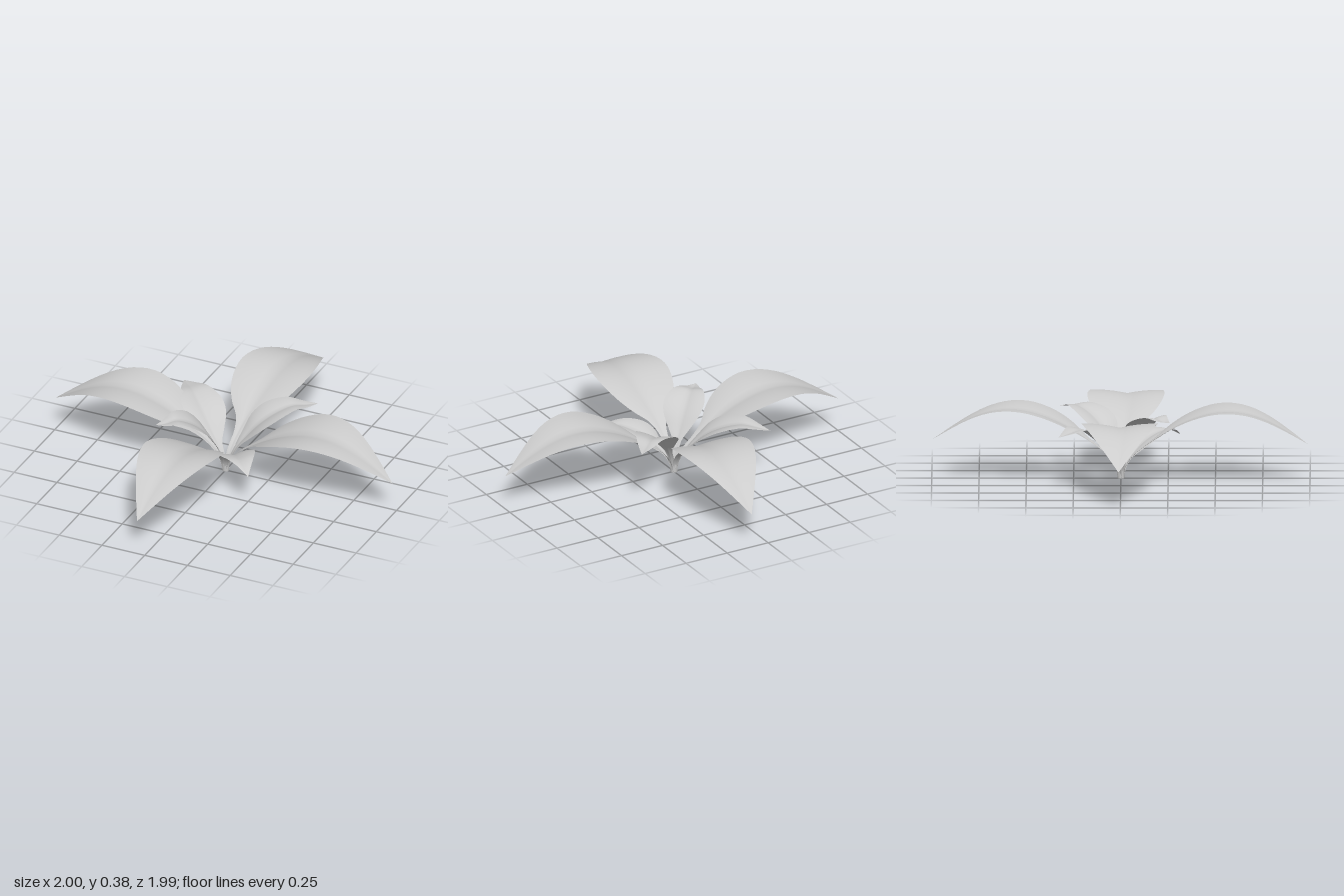
import * as THREE from 'three';

const ROWS = 32, COLS = 10;

// Leaf surface swept along a midrib; profile points are (reach, height, half width).
function leafGeometry(profile, tipX, tipZ, sway, cup) {
  const curve = new THREE.CatmullRomCurve3(profile.map(p => new THREE.Vector3(...p)), false, 'centripetal');
  const length = Math.hypot(tipX, tipZ), dx = tipX / length, dz = tipZ / length;
  const positions = [], index = [];
  for (let i = 0; i <= ROWS; i++) {
    const t = i / ROWS, p = curve.getPoint(t);
    const w = i === ROWS ? 0 : Math.max(p.z, 0.004);
    const fold = cup * (1.5 - 0.9 * t);
    for (let j = 0; j <= COLS; j++) {
      const u = j / COLS * 2 - 1, a = Math.abs(u);
      const side = u * w + sway * Math.sin(Math.PI * t);
      // halves rise from the midrib and roll over slightly at the rim
      const lift = fold * w * (1.7 * a - 0.9 * a * a);
      positions.push(dx * p.x - dz * side, Math.max(0, p.y + lift), dz * p.x + dx * side);
      if (i < ROWS && j < COLS) {
        const k = i * (COLS + 1) + j, n = k + COLS + 1;
        index.push(k, k + 1, n, k + 1, n + 1, n);
      }
    }
  }
  const geometry = new THREE.BufferGeometry();
  geometry.setAttribute('position', new THREE.Float32BufferAttribute(positions, 3));
  geometry.setIndex(index);
  geometry.computeVertexNormals();
  return geometry;
}

// Long arching leaf
function largeProfile(len) {
  return [
    [0.01, 0, 0.015], [0.025, 0.06, 0.017], [0.06, 0.115, 0.018], [0.12, 0.165, 0.022],
    [0.19, 0.213, 0.05], [0.25, 0.25, 0.112], [0.32, 0.288, 0.16], [0.4, 0.322, 0.19],
    [0.5, 0.35, 0.204], [0.6, 0.357, 0.192], [0.7, 0.342, 0.16], [0.8, 0.305, 0.113],
    [0.9, 0.251, 0.058], [1, 0.19, 0],
  ].map(([r, y, w]) => [r * len, y, w]);
}

// Short upright inner leaf
function smallProfile(len, peak, tip, width) {
  return [
    [0.02, 0, 0.13], [0.06, 0.24, 0.15], [0.13, 0.43, 0.22], [0.22, 0.58, 0.55],
    [0.33, 0.74, 0.9], [0.46, 0.87, 1], [0.6, 0.96, 0.87], [0.72, 1, 0.66],
    [0.86, 0.97, 0.35], [1, tip / peak, 0],
  ].map(([r, y, w]) => [r * len, y * peak, w * width]);
}

export function createModel() {
  const group = new THREE.Group();
  const material = new THREE.MeshStandardMaterial({ color: 0xcccccc, side: THREE.DoubleSide });
  const add = (name, geometry) => {
    const mesh = new THREE.Mesh(geometry, material);
    mesh.name = name;
    group.add(mesh);
  };

  // Four large outer leaves: tip x, tip z
  const large = { leftLeaf: [1, 0.05], rightLeaf: [-1, -0.01], frontLeaf: [-0.05, 0.99], backLeaf: [0.1, -1] };
  for (const [name, [x, z]] of Object.entries(large)) {
    add(name, leafGeometry(largeProfile(Math.hypot(x, z)), x, z, 0, 0.15));
  }

  // Four small inner leaves: tip x, tip z, peak height, tip height, half width, sway
  const small = {
    backRightSmallLeaf: [-0.4, -0.33, 0.3, 0.28, 0.115, -0.02],
    backLeftSmallLeaf: [0.385, -0.33, 0.345, 0.33, 0.11, 0.015],
    frontRightSmallLeaf: [-0.285, 0.26, 0.35, 0.34, 0.11, 0],
    frontLeftSmallLeaf: [0.28, 0.315, 0.225, 0.19, 0.1, 0],
  };
  for (const [name, [x, z, peak, tip, width, sway]] of Object.entries(small)) {
    add(name, leafGeometry(smallProfile(Math.hypot(x, z), peak, tip, width), x, z, sway, 0.25));
  }

  // Short stem joining the leaf stalks
  const stem = new THREE.CylinderGeometry(0.022, 0.018, 0.06, 12);
  stem.translate(0, 0.03, 0);
  add('stem', stem);
  return group;
}
